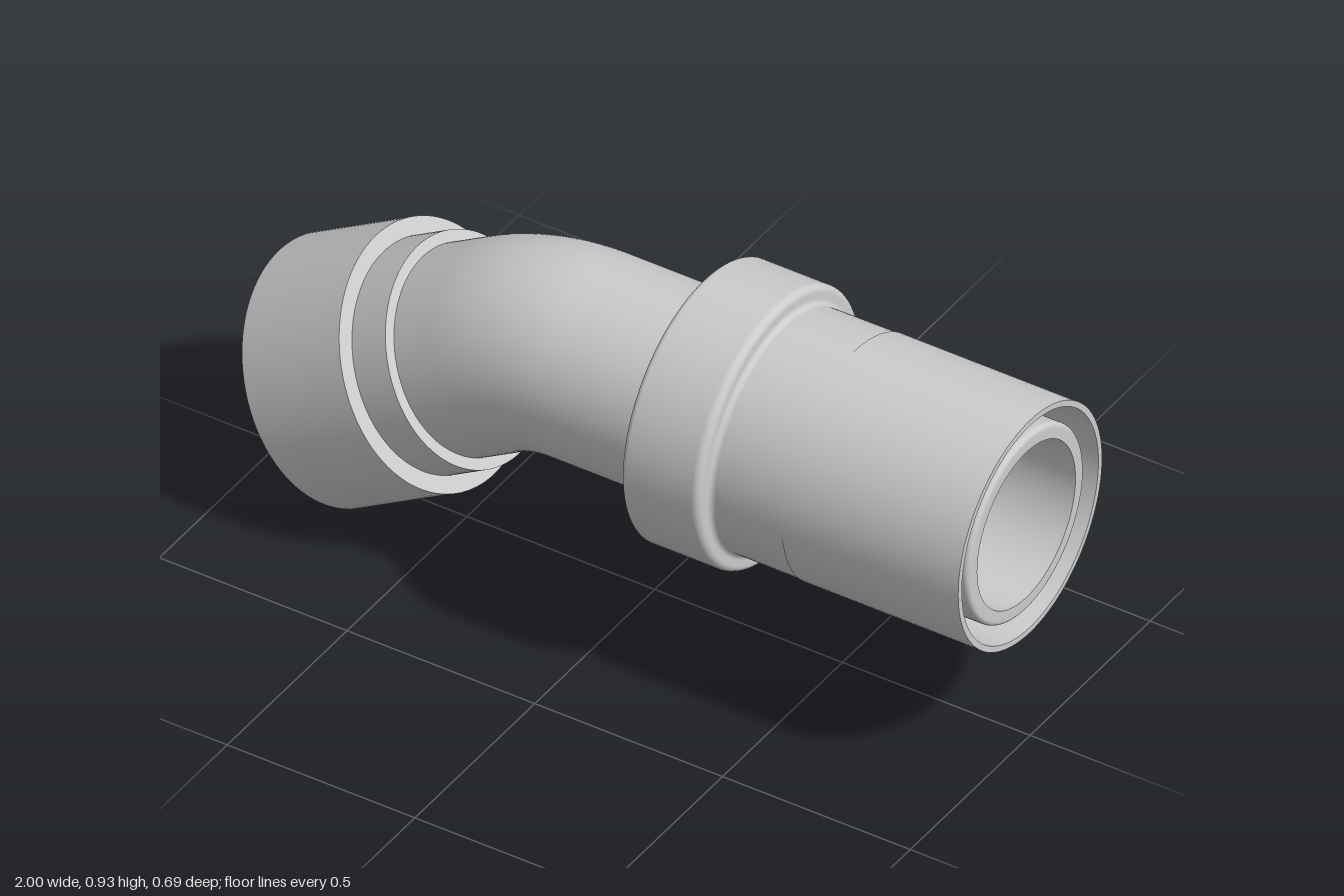
import * as THREE from 'three';
import { mergeGeometries } from 'three/addons/utils/BufferGeometryUtils.js';

const SEG = 96;
const AXIS_Y = 0.595;   // height of the straight pipe
const BEND = Math.PI / 6;
const BEND_R = 0.45;    // centreline radius of the elbow
const BEND_X = -0.172;  // where the elbow starts
const PIPE = 0.245, BORE = 0.205;

// Revolves smooth strips of [radius, distance]; breaks between strips stay sharp
function revolve(strips) {
  return mergeGeometries(strips.map((s) =>
    new THREE.LatheGeometry(s.map(([r, d]) => new THREE.Vector2(r, d)), SEG)));
}

// Points of a quarter round between two angles (degrees)
function round(r, d, size, from, to, n = 6) {
  return Array.from({ length: n + 1 }, (_, i) => {
    const a = THREE.MathUtils.degToRad(from + (to - from) * i / n);
    return [r + size * Math.cos(a), d + size * Math.sin(a)];
  });
}

export function createModel() {
  const model = new THREE.Group();
  model.name = 'pipeElbow';
  const grey = new THREE.MeshStandardMaterial({ color: 0xcccccc, side: THREE.DoubleSide });
  grey.name = 'light grey';

  const add = (name, geometry, x, y, angle) => {
    const mesh = new THREE.Mesh(geometry, grey);
    mesh.name = name;
    mesh.position.set(x, y, 0);
    mesh.rotation.z = angle;
    model.add(mesh);
  };

  // Straight inner pipe with a rounded lip at the open end
  add('innerPipe', revolve([
    [[PIPE, BEND_X], [PIPE, 0.13]],
    [[0.243, 0.53], [0.243, 0.975], ...round(0.231, 0.978, 0.012, 0, 90), [0.218, 0.99], [BORE, 0.99]],
    [[BORE, 0.99], [BORE, BEND_X]],
  ]), 0, AXIS_Y, -Math.PI / 2);

  // Collar with rounded edges and a fillet down to the sleeve
  add('collar', revolve([
    [[PIPE, 0.128], [0.328, 0.128], ...round(0.328, 0.143, 0.015, -90, 0), [0.343, 0.2], [0.343, 0.318],
      ...round(0.325, 0.318, 0.018, 0, 90), ...round(0.311, 0.35, 0.014, 270, 180)],
  ]), 0, AXIS_Y, -Math.PI / 2);

  // Outer sleeve with a tapered groove around the inner pipe
  add('sleeve', revolve([
    [[0.297, 0.35], [0.298, 0.53]],
    [[0.298, 0.53], [0.3, 0.53]],
    [[0.3, 0.53], [0.3, 1]],
    [[0.3, 1], [0.285, 1]],
    [[0.285, 1], [0.27, 0.53]],
    [[0.27, 0.53], [0.243, 0.53]],
  ]), 0, AXIS_Y, -Math.PI / 2);

  // Elbow, outer wall and bore
  for (const [name, r] of [['elbowOuter', PIPE], ['elbowBore', BORE]]) {
    add(name, new THREE.TorusGeometry(BEND_R, r, SEG, 32, BEND), BEND_X, AXIS_Y - BEND_R, Math.PI / 2);
  }

  // Stepped socket on the tilted end
  const endX = BEND_X - BEND_R * Math.sin(BEND);
  const endY = AXIS_Y - BEND_R * (1 - Math.cos(BEND));
  add('socket', revolve([
    [[PIPE, 0], [PIPE, 0.114]],
    [[PIPE, 0.114], [0.273, 0.114]],
    [[0.273, 0.114], [0.273, 0.217]],
    [[0.273, 0.217], [0.315, 0.217]],
    [[0.315, 0.217], [0.315, 0.516]],
    [[0.315, 0.516], [0.308, 0.516]],
    [[0.308, 0.516], [0.308, 0.336]],
    [[0.308, 0.336], [BORE, 0.336]],
    [[BORE, 0.336], [BORE, 0]],
  ]), endX, endY, Math.PI / 2 + BEND);

  return model;
}
